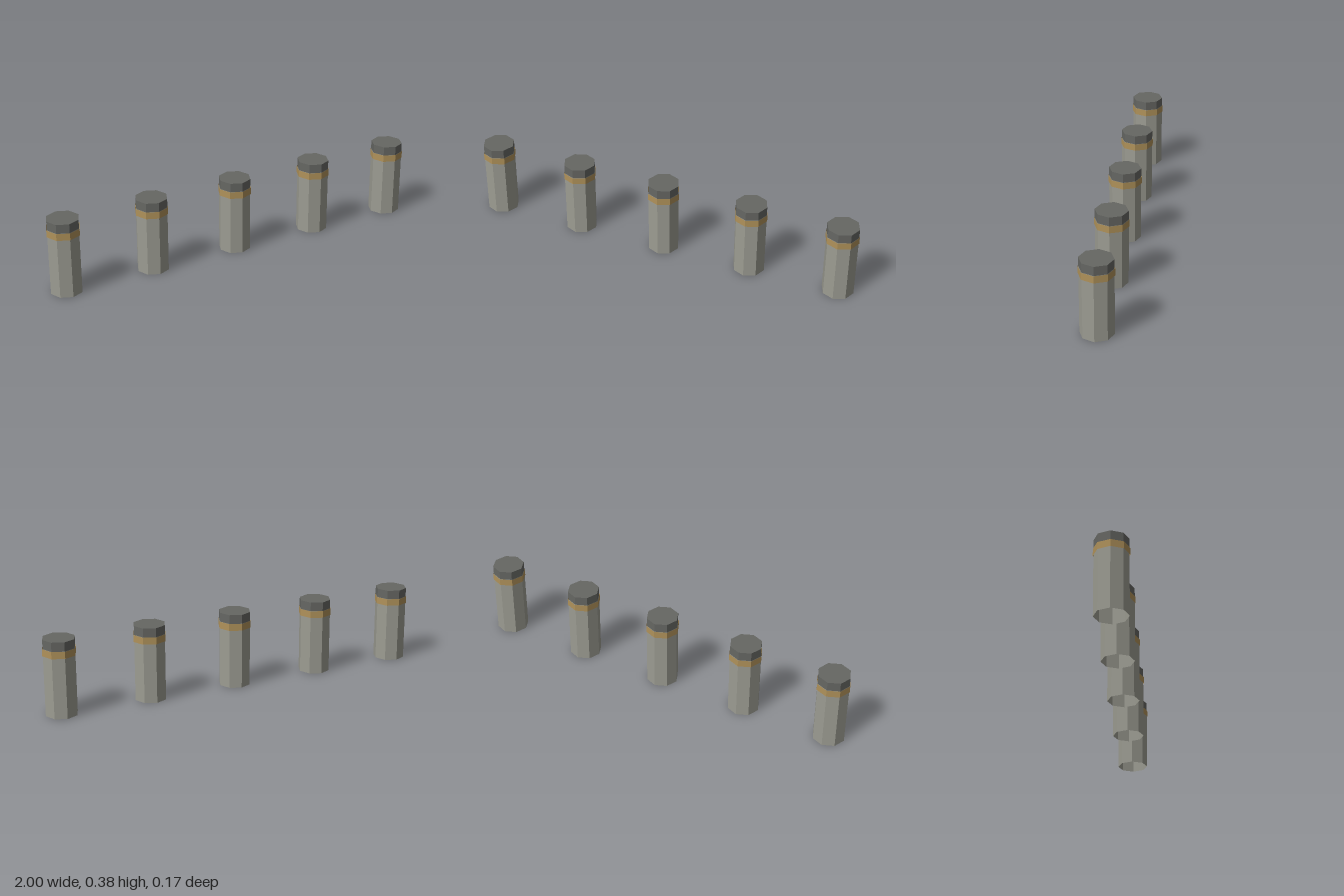
import * as THREE from 'three';

const RADIUS = 0.08;
const BAND_RADIUS = 0.083;
const SPACING = 0.4585;

function material(name, color) {
  const m = new THREE.MeshStandardMaterial({ color, flatShading: true, side: THREE.DoubleSide });
  m.name = name;
  return m;
}

// Upright eight-sided prism between two heights
function prism(radius, bottom, top, open) {
  return new THREE.CylinderGeometry(radius, radius, top - bottom, 8, 1, open)
    .translate(0, (bottom + top) / 2, 0);
}

export function createModel() {
  const model = new THREE.Group();
  model.name = 'bollardRow';

  const parts = [
    // Hollow shaft, open at the foot
    ['shaft', prism(RADIUS, 0, 0.335, true), material('stone grey', 0x9c9c92)],
    // Slightly wider collar around the shaft
    ['band', prism(BAND_RADIUS, 0.3, 0.335, true), material('ochre', 0xb0925a)],
    // Dark closed top
    ['cap', prism(RADIUS, 0.335, 0.38, false), material('dark grey', 0x666763)],
  ];

  // Five evenly spaced bollards
  for (let i = -2; i <= 2; i++) {
    const bollard = new THREE.Group();
    bollard.name = `bollard${i + 3}`;
    bollard.position.x = i * SPACING;
    for (const [name, geometry, mat] of parts) {
      const mesh = new THREE.Mesh(geometry, mat);
      mesh.name = name;
      bollard.add(mesh);
    }
    model.add(bollard);
  }
  return model;
}
